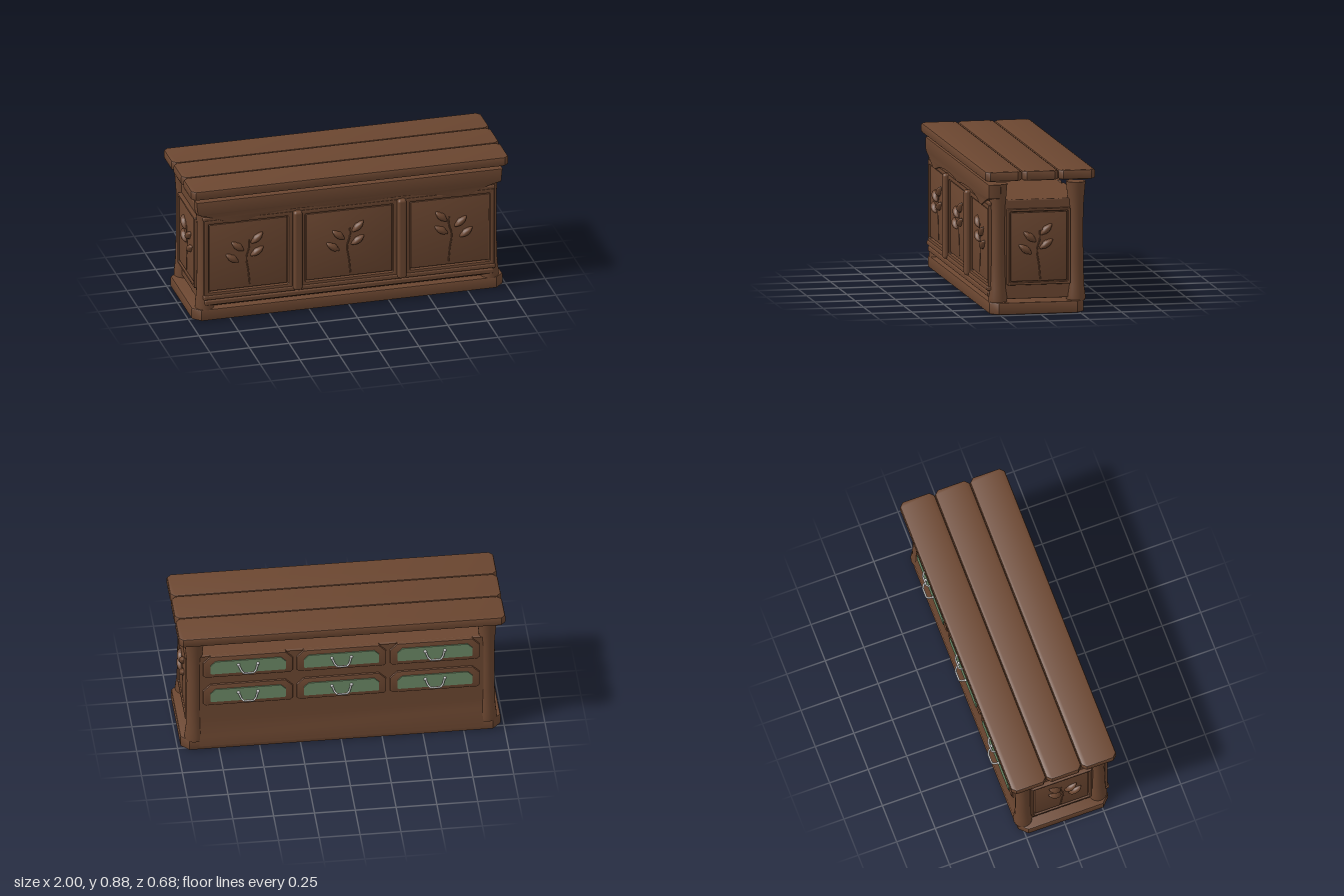
import * as THREE from 'three';
import { RoundedBoxGeometry } from 'three/addons/geometries/RoundedBoxGeometry.js';
import { toCreasedNormals } from 'three/addons/utils/BufferGeometryUtils.js';

const wood = new THREE.MeshStandardMaterial({ color: 0x6b4630 });
wood.name = 'brownWood';
const green = new THREE.MeshStandardMaterial({ color: 0x6b8865 });
green.name = 'greenPaint';
const metal = new THREE.MeshStandardMaterial({ color: 0xc4c4c4 });
metal.name = 'paleMetal';

function add(parent, name, geometry, material = wood, x = 0, y = 0, z = 0) {
  const mesh = new THREE.Mesh(geometry, material);
  mesh.name = name;
  mesh.position.set(x, y, z);
  parent.add(mesh);
  return mesh;
}

// Box given by its limits, with softened edges
function block(parent, name, x0, x1, y0, y1, z0, z1, r = 0.008) {
  const g = new RoundedBoxGeometry(x1 - x0, y1 - y0, z1 - z0, 2, r);
  return add(parent, name, g, wood, (x0 + x1) / 2, (y0 + y1) / 2, (z0 + z1) / 2);
}

// Rectangle outline with cut corners: top cut and bottom cut
function cutRect(w, h, top, bottom = top) {
  const a = w / 2, b = h / 2;
  return new THREE.Shape([
    [-a + bottom, -b], [a - bottom, -b], [a, -b + bottom], [a, b - top],
    [a - top, b], [-a + top, b], [-a, b - top], [-a, -b + bottom],
  ].map(([x, y]) => new THREE.Vector2(x, y)));
}

// Extrusion filling z = 0..depth, bevel included
function slab(shape, depth, bevel) {
  const g = new THREE.ExtrudeGeometry(shape, {
    depth: depth - 2 * bevel, bevelEnabled: bevel > 0, bevelSize: bevel,
    bevelThickness: bevel, bevelOffset: -bevel, bevelSegments: 2,
  });
  g.translate(0, 0, bevel);
  return toCreasedNormals(g, 0.6);
}

// Carved sprig: curved stem and four leaves
function sprig(flip, spread) {
  const group = new THREE.Group();
  group.name = 'carvedSprig';
  const path = new THREE.CatmullRomCurve3([
    [0.008, -0.2], [0, -0.11], [-0.012, -0.02], [0.006, 0.05], [0.004, 0.1],
  ].map(([x, y]) => new THREE.Vector3(x, y, 0)));
  add(group, 'stem', new THREE.TubeGeometry(path, 20, 0.005, 6));
  const leaves = [[-0.056, 0.06, 2.45], [0.045, 0.105, 0.75], [-0.085, -0.015, 2.5], [0.045, 0.015, 0.6]];
  for (const [x, y, angle] of leaves) {
    const g = new THREE.SphereGeometry(1, 16, 10);
    const p = g.attributes.position;
    // Pinch toward both ends for a pointed blade with a toothed rim
    for (let i = 0; i < p.count; i++) {
      const t = p.getX(i), tooth = 1 + 0.12 * Math.cos(t * 30);
      p.setXYZ(i, t * 0.05, p.getY(i) * 0.021 * (1 - 0.35 * t * t) * tooth, p.getZ(i) * 0.03);
    }
    g.computeVertexNormals();
    add(group, 'leaf', g, wood, x * spread, y, 0).rotation.z = angle;
  }
  if (flip) group.rotation.y = Math.PI;
  return group;
}

// Framed panel facing +z, frame front at z = 0.016
function panel(name, w, h, rim, flip, spread) {
  const group = new THREE.Group();
  group.name = name;
  const frame = cutRect(w, h, 0.004);
  frame.holes.push(new THREE.Path(cutRect(w - 2 * rim, h - 2 * rim, 0.004).getPoints().reverse()));
  add(group, 'panelFrame', slab(frame, 0.036, 0.006), wood, 0, 0, -0.02);
  add(group, 'panelField', slab(cutRect(w - 2 * rim - 0.012, h - 2 * rim - 0.012, 0.004), 0.034, 0.006), wood, 0, 0, -0.026);
  const carving = sprig(flip, spread);
  carving.position.z = 0.006;
  group.add(carving);
  return group;
}

// Drawer facing +z with painted plate and hanging pull
function drawer() {
  const group = new THREE.Group();
  group.name = 'drawer';
  add(group, 'drawerFront', slab(cutRect(0.55, 0.157, 0.045, 0.015), 0.035, 0.01), wood, 0, 0, -0.02);
  add(group, 'drawerPlate', slab(cutRect(0.46, 0.092, 0.03, 0.006), 0.008, 0), green, 0, 0, 0.014);
  const pull = new THREE.CurvePath();
  const pts = [[-0.06, 0.015, 0.02], [-0.045, -0.015, 0.047], [-0.03, -0.028, 0.057],
    [0.03, -0.028, 0.057], [0.045, -0.015, 0.047], [0.06, 0.015, 0.02]].map((p) => new THREE.Vector3(...p));
  for (let i = 1; i < pts.length; i++) pull.add(new THREE.LineCurve3(pts[i - 1], pts[i]));
  add(group, 'handle', new THREE.TubeGeometry(pull, 30, 0.006, 8), metal);
  for (const s of [-1, 1]) add(group, 'handleMount', new THREE.SphereGeometry(0.01, 10, 8), metal, s * 0.06, 0.015, 0.023);
  return group;
}

export function createModel() {
  const model = new THREE.Group();
  model.name = 'counter';

  // Base and tabletop planks
  const base = slab(cutRect(1.96, 0.585, 0.05), 0.075, 0.01);
  base.rotateX(-Math.PI / 2);
  add(model, 'base', base, wood, 0, 0, 0.0125);
  for (const z of [0.2275, 0, -0.2275]) {
    const plank = slab(cutRect(2, 0.225, 0.026), 0.06, 0.012);
    plank.rotateX(-Math.PI / 2);
    add(model, 'topPlank', plank, wood, 0, 0.825, z);
  }

  // Cabinet body
  block(model, 'body', -0.92, 0.92, 0.088, 0.7, -0.265, 0.285);

  // Back board, flared at the foot, facing backward
  const board = new THREE.PlaneGeometry(1.74, 0.67, 1, 10);
  const bp = board.attributes.position;
  for (let i = 0; i < bp.count; i++) bp.setZ(i, bp.getY(i) < -0.25 ? 0.012 : 0);
  board.computeVertexNormals();
  add(model, 'backBoard', board, wood, 0, 0.365, -0.275).rotation.y = Math.PI;

  // Corner posts, waisted at mid height
  const profile = [[0, 0.07], [0.058, 0.07], [0.059, 0.1], [0.051, 0.16], [0.047, 0.3], [0.045, 0.5],
    [0.047, 0.64], [0.052, 0.71], [0.06, 0.8], [0, 0.8]].map(([x, y]) => new THREE.Vector2(x, y));
  for (const x of [-0.897, 0.897]) {
    for (const z of [0.248, -0.237]) {
      add(model, 'cornerPost', toCreasedNormals(new THREE.LatheGeometry(profile, 20), 0.7), wood, x, 0, z);
    }
  }

  // Front panels, dividers and rails
  for (const [x, w, flip] of [[-0.635, 0.56, false], [0, 0.61, false], [0.635, 0.56, true]]) {
    const p = panel('frontPanel', w, 0.51, 0.028, flip, 1.2);
    p.position.set(x, 0.415, 0.294);
    model.add(p);
  }
  for (const x of [-0.328, 0.328]) {
    block(model, 'divider', x - 0.028, x + 0.028, 0.148, 0.675, 0.27, 0.34, 0.018);
  }
  block(model, 'upperRail', -0.92, 0.92, 0.665, 0.69, 0.26, 0.308);
  block(model, 'bottomRail', -0.92, 0.92, 0.142, 0.17, 0.26, 0.318);
  block(model, 'footRail', -0.91, 0.91, 0.105, 0.136, 0.26, 0.313);

  // Side panels
  for (const s of [-1, 1]) {
    const p = panel('sidePanel', 0.392, 0.468, 0.016, s < 0, 1);
    p.position.set(s * 0.932, 0.41, 0);
    p.rotation.y = s * Math.PI / 2;
    model.add(p);
  }

  // Wavy valance under the tabletop front
  const valance = new THREE.Shape();
  valance.moveTo(0.965, 0.8);
  valance.lineTo(-0.965, 0.8);
  valance.lineTo(-0.957, 0.715);
  valance.splineThru([[-0.86, 0.685], [-0.72, 0.642], [-0.55, 0.672], [-0.35, 0.688], [-0.15, 0.683], [0, 0.672],
    [0.15, 0.683], [0.35, 0.688], [0.55, 0.672], [0.7, 0.642], [0.86, 0.69], [0.957, 0.715]]
    .map(([x, y]) => new THREE.Vector2(x, y)));
  add(model, 'valance', slab(valance, 0.076, 0.006), wood, 0, 0, 0.24);

  // Two rows of three drawers on the back
  for (const y of [0.622, 0.412]) {
    for (const x of [-0.572, 0, 0.572]) {
      const d = drawer();
      d.position.set(x, y, -0.272);
      d.rotation.y = Math.PI;
      model.add(d);
    }
  }
  return model;
}
